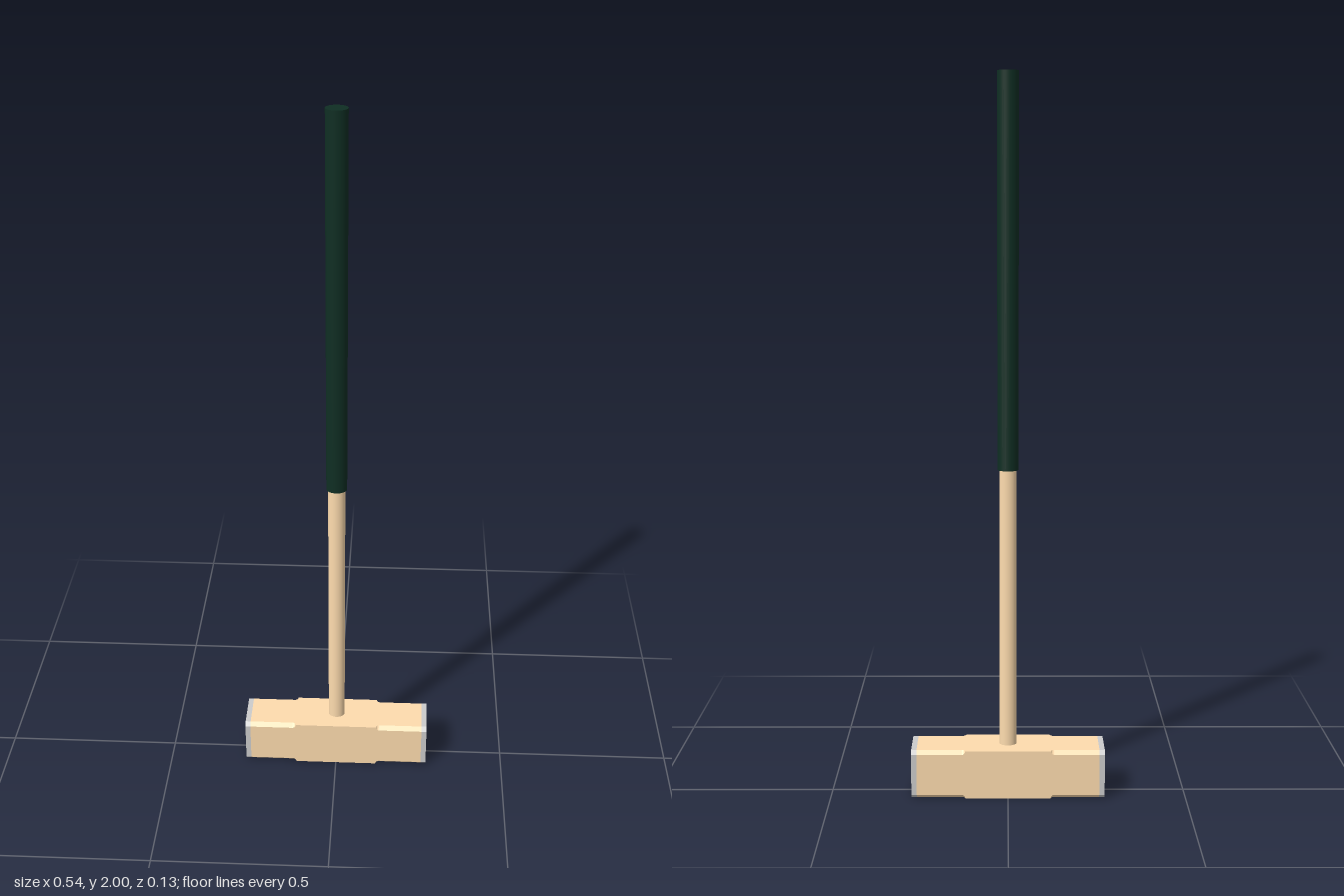
import * as THREE from 'three';

const wood = new THREE.MeshStandardMaterial({ color: 0xfedcae });
const steel = new THREE.MeshStandardMaterial({ color: 0xcccccc });
const rubber = new THREE.MeshStandardMaterial({ color: 0x0f2e23 });

const HALF_H = 0.07, HALF_D = 0.065, CUT = 0.011;
const CUT_START = 0.12, CAP_START = 0.257, HEAD_END = 0.272;

// Corner cut at distance x from the middle: nothing, a rounded run-out, then constant
function cutAt(x) {
  const t = THREE.MathUtils.clamp((Math.abs(x) - CUT_START) / CUT, 0, 1);
  return CUT * Math.sqrt(1 - (1 - t) ** 2);
}

// Eight-cornered section of the head, counter-clockwise seen from +x
function section(x) {
  const c = cutAt(x), h = HALF_H, d = HALF_D;
  return [[-h + c, -d], [h - c, -d], [h, -d + c], [h, d - c],
    [h - c, d], [-h + c, d], [-h, d - c], [-h, -d + c]]
    .map(([y, z]) => new THREE.Vector3(x, y + HALF_H, z));
}

// Flat-faced loft through the sections at the given x stations
function loft(stations) {
  const pos = [];
  const tri = (a, b, c) => {
    const n = b.clone().sub(a).cross(c.clone().sub(a));
    if (n.length() > 1e-9) for (const p of [a, b, c]) pos.push(p.x, p.y, p.z);
  };
  const rings = stations.map(section);
  for (let s = 0; s < rings.length - 1; s++) {
    const r0 = rings[s], r1 = rings[s + 1];
    for (let i = 0; i < 8; i++) {
      const j = (i + 1) % 8;
      tri(r0[i], r0[j], r1[i]);
      tri(r0[j], r1[j], r1[i]);
    }
  }
  const first = rings[0], last = rings[rings.length - 1];
  for (let i = 1; i < 7; i++) {
    tri(last[0], last[i], last[i + 1]);
    tri(first[0], first[i + 1], first[i]);
  }
  const geo = new THREE.BufferGeometry();
  geo.setAttribute('position', new THREE.Float32BufferAttribute(pos, 3));
  geo.computeVertexNormals();
  return geo;
}

// Upright rod with an oval section
function ovalRod(rx, rz, y0, y1) {
  const geo = new THREE.CylinderGeometry(1, 1, y1 - y0, 48);
  geo.scale(rx, 1, rz);
  geo.translate(0, (y0 + y1) / 2, 0);
  return geo;
}

export function createModel() {
  const group = new THREE.Group();
  const add = (name, geo, mat) => {
    const mesh = new THREE.Mesh(geo, mat);
    mesh.name = name;
    group.add(mesh);
  };

  // Head body with its four relieved edges at each end
  const right = [];
  for (let i = 0; i <= 8; i++) {
    right.push(CUT_START + CUT * (1 - Math.cos((i / 8) * Math.PI / 2)));
  }
  right.push(CAP_START);
  const left = right.map((x) => -x).reverse();
  add('headBody', loft([...left, ...right]), wood);

  // Steel striking faces
  add('leftStrikingFace', loft([CAP_START, HEAD_END]), steel);
  add('rightStrikingFace', loft([-HEAD_END, -CAP_START]), steel);

  // Handle and grip
  add('handle', ovalRod(0.024, 0.021, 0.13, 0.94), wood);
  add('grip', ovalRod(0.029, 0.025, 0.93, 2), rubber);
  return group;
}
